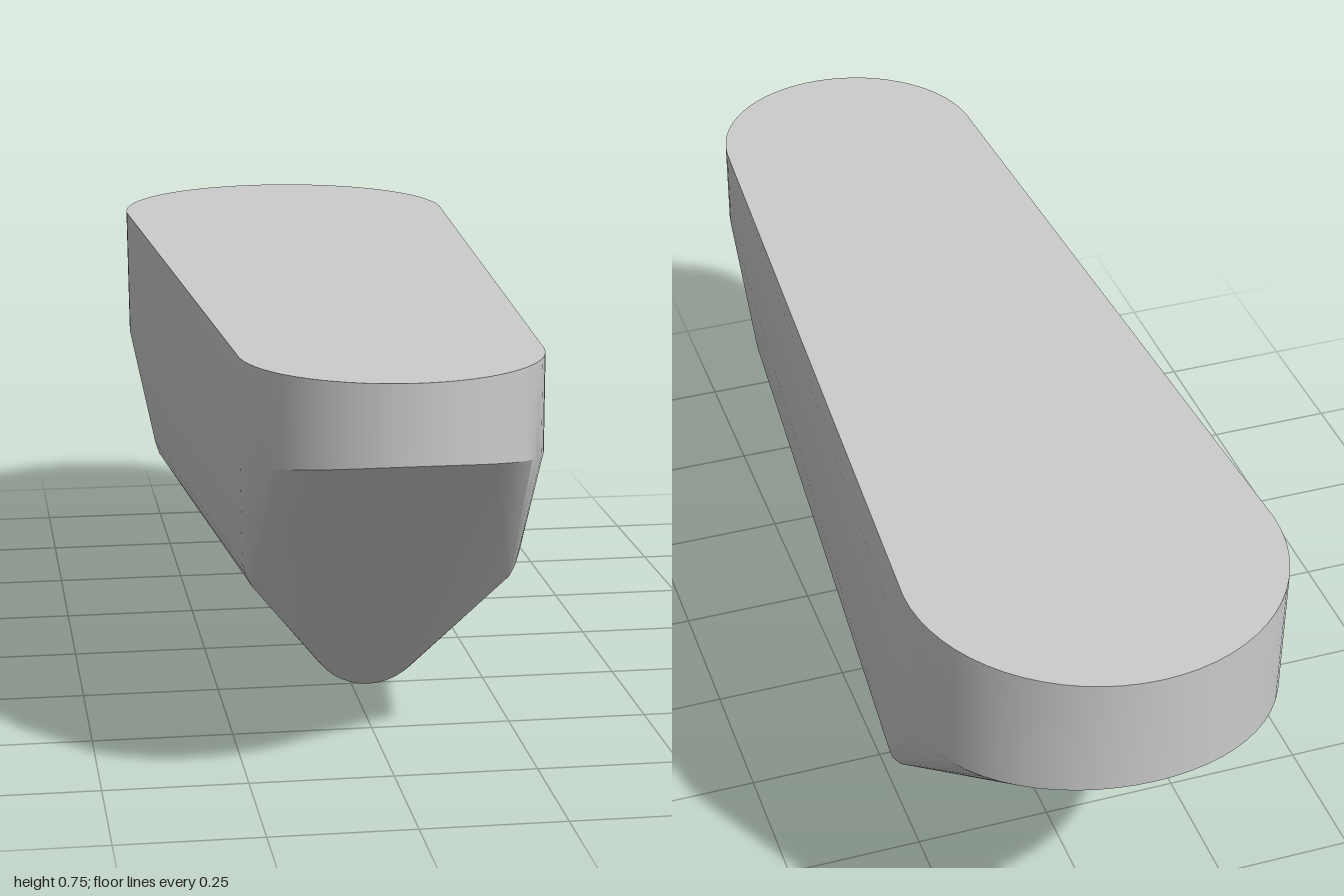
import * as THREE from 'three';
import { ConvexGeometry } from 'three/addons/geometries/ConvexGeometry.js';
import { toCreasedNormals } from 'three/addons/utils/BufferGeometryUtils.js';

const TOP = 0.745;

// Half-ellipse in plan from the left side (+x) round to the right, dir +1 = front, -1 = back
function endArc(xLeft, xRight, zStart, dir, yAt, steps = 32) {
  const cx = (xLeft + xRight) / 2, rx = (xLeft - xRight) / 2, rz = 1 - Math.abs(zStart);
  return Array.from({ length: steps + 1 }, (_, i) => {
    const a = (Math.PI * i) / steps;
    return new THREE.Vector3(cx + rx * Math.cos(a), yAt(Math.cos(a)), zStart + dir * rz * Math.sin(a));
  });
}

// Rounded keel: an arc in the xy direction at a fixed z
function keelArc(x, yBottom, z, r, half, steps = 12) {
  return Array.from({ length: steps + 1 }, (_, i) => {
    const a = half * ((2 * i) / steps - 1);
    return new THREE.Vector3(x + r * Math.sin(a), yBottom + r * (1 - Math.cos(a)), z);
  });
}

// Softened chine corners at a fixed z
const chine = (z, pairs) => pairs.map(([x, y]) => new THREE.Vector3(x, y, z));

export function createModel() {
  const group = new THREE.Group();
  group.name = 'keeledBody';

  const points = [
    // flat deck outline
    ...endArc(0.245, -0.265, 0.75, 1, () => TOP),
    ...endArc(0.325, -0.338, -0.67, -1, () => TOP),
    // lower edges of the upright end walls
    ...endArc(0.245, -0.265, 0.75, 1, (c) => 0.61 - 0.035 * c * c),
    ...endArc(0.33, -0.335, -0.67, -1, (c) => 0.525 - 0.035 * c * c),
    // slight bulge below the deck on the left side
    new THREE.Vector3(0.335, 0.69, -0.6),
    // chines
    ...chine(0.64, [[-0.246, 0.355], [-0.24, 0.335], [-0.23, 0.315], [0.234, 0.355], [0.228, 0.335], [0.218, 0.315]]),
    ...chine(-0.53, [[-0.297, 0.285], [-0.289, 0.26], [-0.275, 0.24], [0.315, 0.285], [0.307, 0.255], [0.292, 0.235]]),
    // sloping keel
    ...keelArc(-0.01, 0.09, 0.52, 0.11, 0.9),
    ...keelArc(-0.008, 0, -0.38, 0.105, 0.76),
  ];

  const hull = new THREE.Mesh(
    toCreasedNormals(new ConvexGeometry(points), 0.5),
    new THREE.MeshStandardMaterial({ color: 0xcccccc })
  );
  hull.name = 'hull';
  group.add(hull);
  return group;
}
